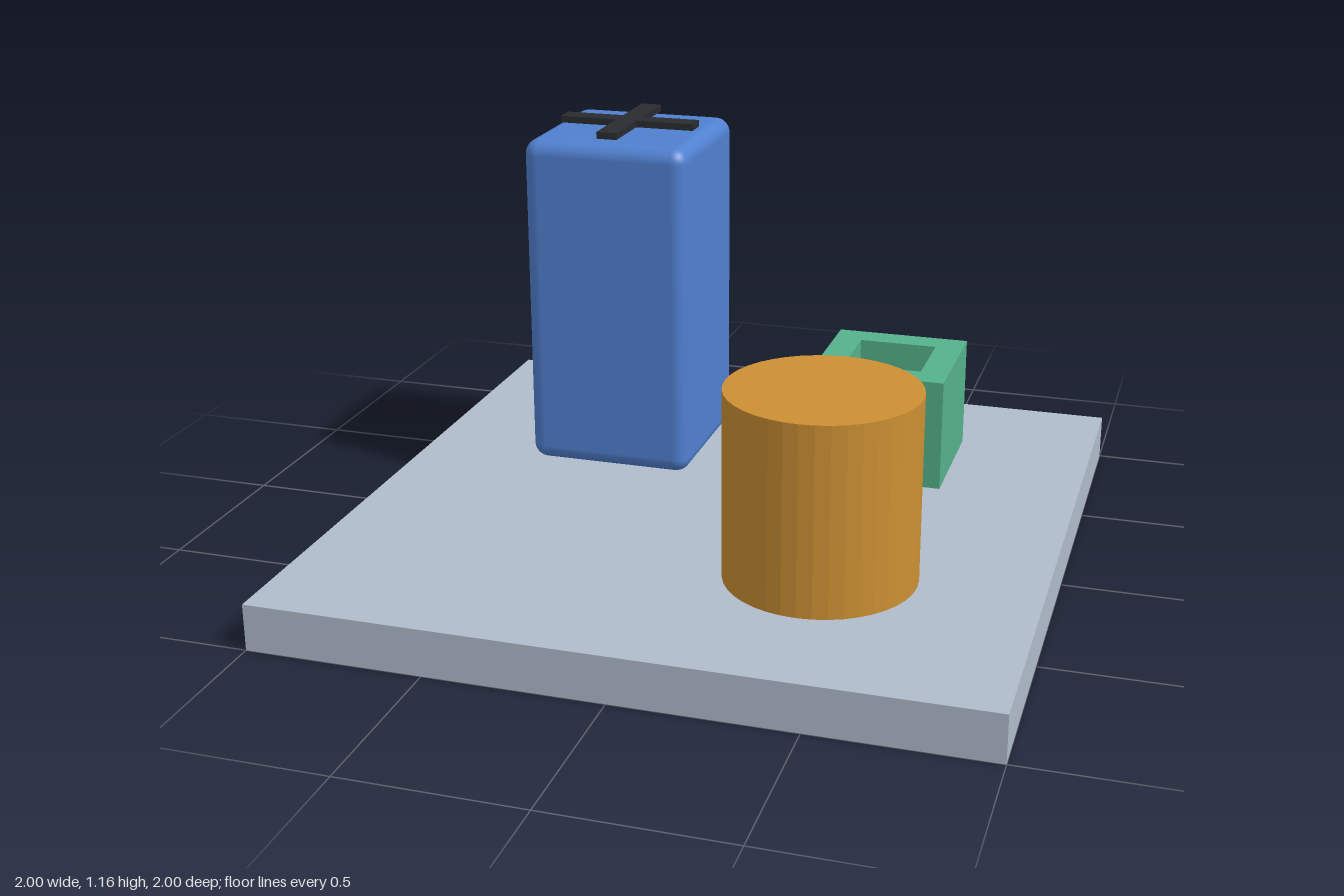
import * as THREE from 'three';
import { RoundedBoxGeometry } from 'three/addons/geometries/RoundedBoxGeometry.js';

const material = (name, color, extra = {}) => {
  const m = new THREE.MeshStandardMaterial({ color, ...extra });
  m.name = name;
  return m;
};

export function createModel() {
  const model = new THREE.Group();
  const grey = material('blueGrey', 0xb0bccb);
  const blue = material('blue', 0x5080d0);
  const amber = material('amber', 0xcc9033, { flatShading: true });
  const green = material('green', 0x55b28c);
  const black = material('charcoal', 0x2a2b30);

  const add = (name, geometry, mat, x, y, z, parent = model) => {
    const mesh = new THREE.Mesh(geometry, mat);
    mesh.name = name;
    mesh.position.set(x, y, z);
    parent.add(mesh);
    return mesh;
  };

  // Base plate
  const top = 0.133;
  add('basePlate', new THREE.BoxGeometry(2, top, 2), grey, 0, top / 2, 0);

  // Tall rounded block
  add('roundedTower', new RoundedBoxGeometry(0.5, 1, 0.5, 5, 0.045), blue, -0.4, top + 0.5, -0.4);

  // Plus-shaped marker just above the tower, one outline so no faces overlap
  const a = 0.207, b = 0.031;
  const plus = new THREE.Shape([
    [b, a], [-b, a], [-b, b], [-a, b], [-a, -b], [-b, -b],
    [-b, -a], [b, -a], [b, -b], [a, -b], [a, b], [b, b],
  ].map(([x, y]) => new THREE.Vector2(x, y)));
  const cross = new THREE.ExtrudeGeometry(plus, { depth: 0.02, bevelEnabled: false });
  cross.rotateX(-Math.PI / 2);
  add('crossMarker', cross, black, -0.4, 1.143, -0.4);

  // Cylinder
  add('drum', new THREE.CylinderGeometry(0.265, 0.265, 0.533, 40), amber, 0.4, top + 0.2665, 0.4);

  // Open box: square wall ring on a solid bottom
  const openBox = new THREE.Group();
  openBox.name = 'openBox';
  openBox.position.set(0.4, top, -0.47);
  model.add(openBox);
  const square = (Type, h) => new Type([[-h, -h], [h, -h], [h, h], [-h, h]]
    .map(([x, y]) => new THREE.Vector2(x, y)));
  const height = 0.333, pocket = 0.133, bottom = height - pocket;
  const ring = square(THREE.Shape, 0.2);
  ring.holes.push(square(THREE.Path, 0.117));
  const walls = new THREE.ExtrudeGeometry(ring, { depth: pocket, bevelEnabled: false });
  walls.rotateX(-Math.PI / 2);
  add('boxWalls', walls, green, 0, bottom, 0, openBox);
  add('boxBottom', new THREE.BoxGeometry(0.4, bottom, 0.4), green, 0, bottom / 2, 0, openBox);

  return model;
}
